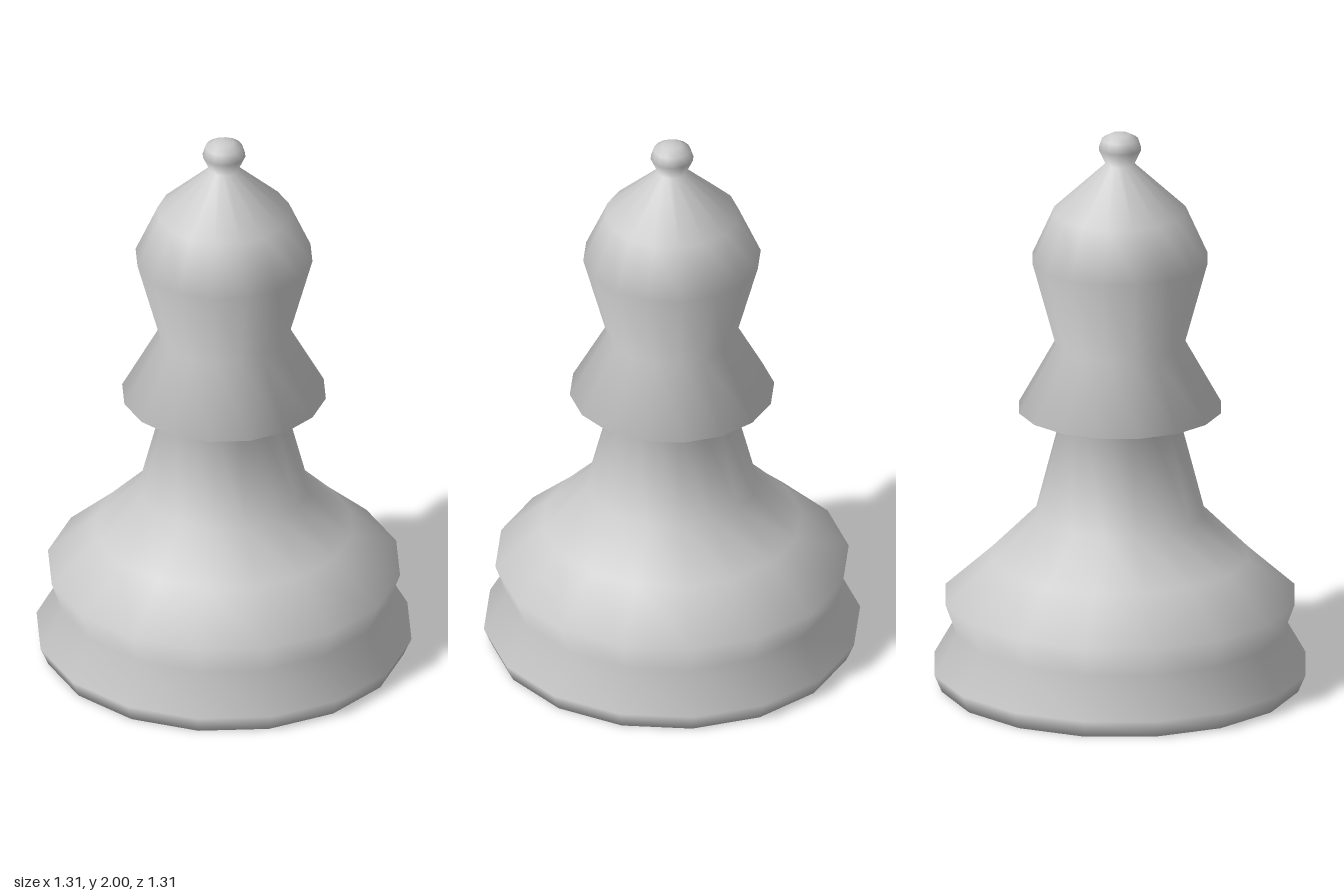
import * as THREE from 'three';
import { mergeVertices } from 'three/addons/utils/BufferGeometryUtils.js';

const SIDES = 16;

// Turned solid with normals smoothed across the seam, the poles and every ring
function turned(profile) {
  const lathe = new THREE.LatheGeometry(profile.map(([r, y]) => new THREE.Vector2(r, y)), SIDES);
  lathe.deleteAttribute('uv');
  lathe.deleteAttribute('normal');
  const geometry = mergeVertices(lathe, 1e-4);
  geometry.computeVertexNormals();
  return geometry;
}

export function createModel() {
  const group = new THREE.Group();
  group.name = 'chessBishop';

  const profile = [
    // base
    [0, 0], [0.63, 0], [0.657, 0.063], [0.577, 0.205], [0.617, 0.315],
    // shoulder and stem
    [0.45, 0.465], [0.296, 0.62], [0.208, 0.96],
    // collar
    [0.357, 1.0], [0.226, 1.238],
    // head
    [0.31, 1.545], [0.232, 1.72], [0.05, 1.89],
    // finial
    [0.075, 1.945], [0.064, 1.98], [0.034, 1.997], [0, 2],
  ];

  const body = new THREE.Mesh(
    turned(profile),
    new THREE.MeshStandardMaterial({ color: 0xcccccc }),
  );
  body.name = 'turnedBody';
  group.add(body);
  return group;
}
